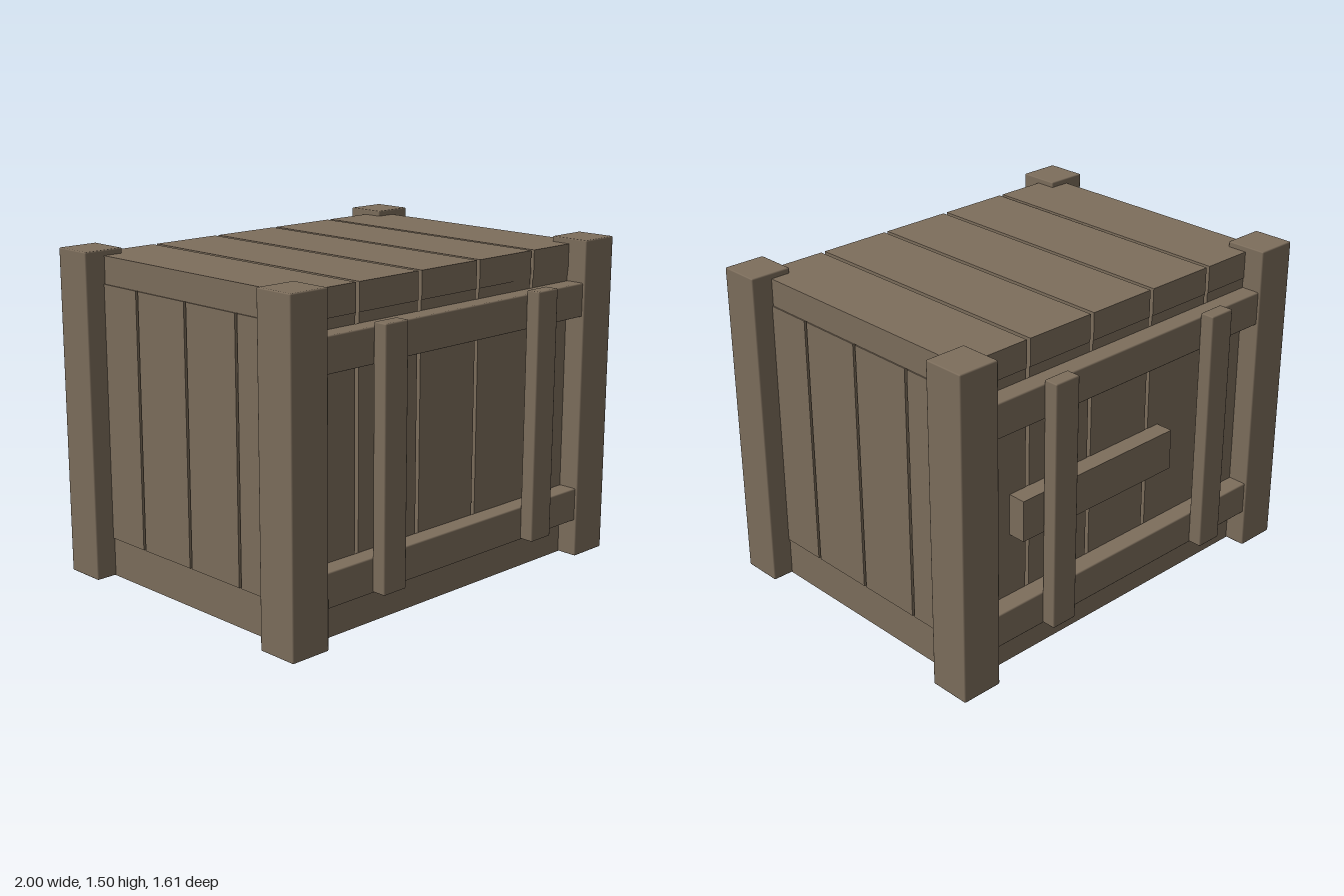
import * as THREE from 'three';
import { RoundedBoxGeometry } from 'three/addons/geometries/RoundedBoxGeometry.js';

export function createModel() {
  const crate = new THREE.Group();
  crate.name = 'woodenCrate';
  const wood = new THREE.MeshStandardMaterial({ color: 0x7d6e5c });
  wood.name = 'weatheredWood';

  // Box given by its ranges on each axis, with an optional small bevel
  function board(name, [x0, x1], [y0, y1], [z0, z1], bevel = 0) {
    const size = [x1 - x0, y1 - y0, z1 - z0];
    const geometry = bevel
      ? new RoundedBoxGeometry(...size, 1, bevel)
      : new THREE.BoxGeometry(...size);
    const mesh = new THREE.Mesh(geometry, wood);
    mesh.name = name;
    mesh.position.set((x0 + x1) / 2, (y0 + y1) / 2, (z0 + z1) / 2);
    crate.add(mesh);
  }
  // Range lying at distance a to b from the middle, on the given side
  const span = (side, a, b) => (side > 0 ? [a, b] : [-b, -a]);
  // Equal planks with gaps across -half..half
  function planks(count, half, gap) {
    const width = (2 * half - gap * (count - 1)) / count;
    return Array.from({ length: count }, (_, i) => {
      const start = -half + i * (width + gap);
      return [start, start + width];
    });
  }

  // Solid base
  board('base', [-0.9, 0.9], [0, 0.18], [-0.65, 0.65]);

  // Lid planks, with front and back wall planks under them
  for (const x of planks(5, 0.9, 0.02)) {
    board('lidPlank', x, [1.35, 1.475], [-0.652, 0.652]);
    for (const s of [-1, 1]) board('wallPlank', x, [0.18, 1.35], span(s, 0.61, 0.648));
  }

  for (const s of [-1, 1]) {
    // Side wall planks
    for (const z of planks(4, 0.64, 0.015)) {
      board('sidePlank', span(s, 0.865, 0.906), [0.18, 1.35], z);
    }
    // Horizontal rails on front and back
    for (const y of [[0.175, 0.33], [1.15, 1.305]]) {
      board('rail', [-0.81, 0.81], y, span(s, 0.645, 0.738), 0.006);
    }
    for (const t of [-1, 1]) {
      // Corner posts
      board('cornerPost', span(s, 0.803, 1), [0, 1.5], span(t, 0.555, 0.75), 0.006);
      // Upright straps over the rails
      board('strap', span(s, 0.41, 0.54), [0.18, 1.325], span(t, 0.736, 0.805), 0.006);
    }
  }

  // Crossbar on the back, behind the straps
  board('backCrossbar', [-0.257, 0.647], [0.62, 0.81], [-0.73, -0.645]);

  return crate;
}
